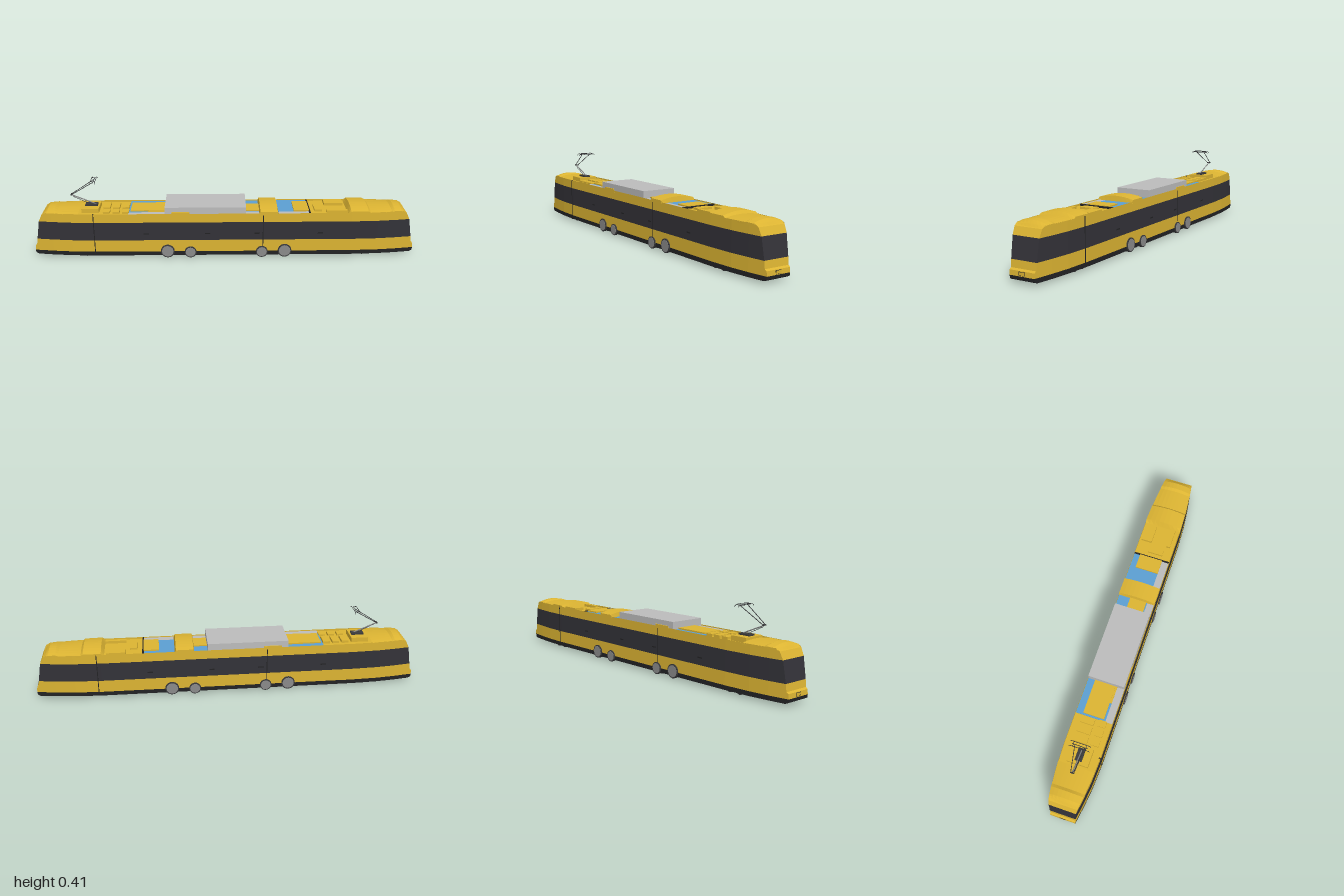
import * as THREE from 'three';

const mat = (name, color, side = THREE.FrontSide) => {
  const m = new THREE.MeshStandardMaterial({ color, side });
  m.name = name;
  return m;
};

// half width of the car body along its length
const WIDTHS = [[0, 0.098], [0.66, 0.098], [0.8, 0.092], [0.9, 0.081], [1, 0.066]];
function halfWidth(x) {
  const a = Math.min(Math.abs(x), 1);
  const i = Math.max(1, WIDTHS.findIndex(p => a <= p[0]));
  const [x0, w0] = WIDTHS[i - 1], [x1, w1] = WIDTHS[i];
  return w0 + (w1 - w0) * (a - x0) / (x1 - x0);
}

// closed plan outline for a body whose nose reaches xe
function plan(xe) {
  const half = [0.66, 0.8, 0.9, xe];
  const xs = [...half.slice().reverse().map(x => -x), ...half];
  return [...xs.map(x => [x, halfWidth(x)]), ...xs.reverse().map(x => [x, -halfWidth(x)])];
}

function geometryFrom(pos) {
  const g = new THREE.BufferGeometry();
  g.setAttribute('position', new THREE.Float32BufferAttribute(pos, 3));
  g.computeVertexNormals();
  return g;
}

// wall band through levels of [height, nose reach]
function band(levels) {
  const pos = [];
  for (let k = 0; k < levels.length - 1; k++) {
    const [y0, e0] = levels[k], [y1, e1] = levels[k + 1];
    const lo = plan(e0), hi = plan(e1);
    lo.forEach((p, i) => {
      const j = (i + 1) % lo.length;
      const a = [p[0], y0, p[1]], b = [lo[j][0], y0, lo[j][1]];
      const c = [hi[j][0], y1, hi[j][1]], d = [hi[i][0], y1, hi[i][1]];
      pos.push(...a, ...b, ...c, ...a, ...c, ...d);
    });
  }
  return geometryFrom(pos);
}

// arched roof through stations of [x, edge height, middle height]
function archedRoof(stations) {
  const N = 8, base = 0.238;
  const rows = stations.map(([x, edge, mid]) => {
    const w = halfWidth(x) + 0.001, row = [[x, base, -w]];
    for (let j = 0; j <= N; j++) {
      const t = -1 + 2 * j / N;
      row.push([x, edge + (mid - edge) * (1 - t * t), t * w]);
    }
    row.push([x, base, w]);
    return row;
  });
  const pos = [];
  for (let i = 0; i < rows.length - 1; i++) {
    for (let j = 0; j < rows[i].length - 1; j++) {
      const a = rows[i][j], d = rows[i][j + 1], b = rows[i + 1][j], c = rows[i + 1][j + 1];
      pos.push(...a, ...d, ...b, ...b, ...d, ...c);
    }
  }
  return geometryFrom(pos);
}

export function createModel() {
  const yellow = mat('yellow paint', 0xdcb432, THREE.DoubleSide);
  const glass = mat('dark glazing', 0x333238);
  const black = mat('black skirt', 0x222224);
  const blue = mat('blue roof deck', 0x5b9fd2);
  const pale = mat('pale grey', 0xbcbcbc);
  const steel = mat('steel grey', 0x8a8a8a);
  const tyre = mat('dark metal', 0x3a3a3c);

  const tram = new THREE.Group();
  tram.name = 'tram';
  const add = (name, geo, m, parent = tram) => {
    const mesh = new THREE.Mesh(geo, m);
    mesh.name = name;
    parent.add(mesh);
    return mesh;
  };
  // box given by its extents
  const box = (name, m, [x0, x1], [y0, y1], [z0, z1], parent = tram) => {
    const mesh = add(name, new THREE.BoxGeometry(x1 - x0, y1 - y0, z1 - z0), m, parent);
    mesh.position.set((x0 + x1) / 2, (y0 + y1) / 2, (z0 + z1) / 2);
    return mesh;
  };
  const rod = (name, a, b, r, m, parent) => {
    const p = new THREE.Vector3(...a), q = new THREE.Vector3(...b);
    const mesh = add(name, new THREE.CylinderGeometry(r, r, p.distanceTo(q), 6), m, parent);
    mesh.position.copy(p).add(q).multiplyScalar(0.5);
    mesh.quaternion.setFromUnitVectors(new THREE.Vector3(0, 1, 0), q.sub(p).normalize());
  };
  const slab = (name, xe, y, tilt, m) => {
    const shape = new THREE.Shape(plan(xe).map(p => new THREE.Vector2(...p)));
    const mesh = add(name, new THREE.ShapeGeometry(shape), m);
    mesh.rotation.x = tilt;
    mesh.position.y = y;
  };

  // body shell in coloured bands
  add('skirt', band([[0.013, 0.985], [0.02, 0.998], [0.035, 1]]), black);
  add('lowerBody', band([[0.035, 1], [0.058, 0.998], [0.065, 0.988], [0.1, 0.984]]), yellow);
  add('windowBand', band([[0.1, 0.984], [0.2, 0.967]]), glass);
  add('upperBody', band([[0.2, 0.967], [0.236, 0.95], [0.248, 0.93]]), yellow);
  slab('floor', 0.985, 0.013, Math.PI / 2, black);
  slab('roofDeck', 0.945, 0.238, -Math.PI / 2, yellow);

  // blue and grey deck panels
  for (const [x0, x1] of [[-0.5, 0.18], [0.28, 0.44]]) {
    box('blueDeck', blue, [x0, x1], [0.238, 0.243], [-0.097, 0.06]);
    box('greyDeck', pale, [x0, x1], [0.238, 0.243], [0.06, 0.097]);
  }
  box('deckBlock', yellow, [-0.49, -0.31], [0.24, 0.25], [-0.06, 0.05]);
  box('deckBlock', yellow, [-0.4, -0.31], [0.24, 0.247], [-0.06, 0.06]);
  box('deckBlock', yellow, [0.11, 0.18], [0.24, 0.249], [-0.035, 0.055]);
  box('deckBlock', yellow, [0.36, 0.44], [0.24, 0.25], [-0.065, 0.06]);
  box('deckGap', black, [0.438, 0.446], [0.238, 0.247], [-0.097, 0.097]);
  box('roofUnit', pale, [-0.31, 0.11], [0.243, 0.282], [-0.096, 0.096]);

  // equipment between the deck and the end housings
  box('equipmentBox', yellow, [0.53, 0.63], [0.238, 0.252], [-0.088, -0.03]);
  box('equipmentBox', yellow, [0.53, 0.64], [0.238, 0.252], [0.055, 0.075]);
  box('equipmentBox', yellow, [0.47, 0.51], [0.238, 0.248], [-0.03, 0.05]);
  for (const x of [-0.62, -0.57, -0.52]) {
    box('equipmentBox', yellow, [x - 0.018, x + 0.018], [0.238, 0.251], [-0.06, 0.01]);
    box('equipmentBox', yellow, [x - 0.012, x + 0.022], [0.238, 0.249], [0.03, 0.07]);
  }

  // each half repeats, turned about the vertical axis
  for (const turn of [0, Math.PI]) {
    const half = new THREE.Group();
    half.name = turn ? 'rightHalf' : 'leftHalf';
    half.rotation.y = turn;
    tram.add(half);

    const pantographEnd = turn > 0;
    const start = pantographEnd ? [] :
      [[0.64, 0.24, 0.24], [0.655, 0.255, 0.27], [0.745, 0.255, 0.27]];
    add('cabRoof', archedRoof([...start, [0.757, 0.247, 0.256], [0.87, 0.246, 0.257],
      [0.885, 0.25, 0.265], [0.92, 0.248, 0.263], [0.935, 0.244, 0.25],
      [0.948, 0.236, 0.236]]), yellow, half);
    add('jointHousing', archedRoof([[0.178, 0.238, 0.238], [0.184, 0.257, 0.27],
      [0.274, 0.257, 0.27], [0.28, 0.238, 0.238]]), yellow, half);

    // vertical seams on one side
    for (const x of [-0.68, 0.2]) {
      box('doorSeam', black, [x - 0.002, x + 0.002], [0.035, 0.247], [0.09, 0.0985], half);
    }
    // small side fittings
    for (const x of [-0.41, -0.09, 0.17, 0.5]) {
      box('sideFitting', black, [x - 0.014, x + 0.014], [0.134, 0.14], [0.095, 0.1], half);
    }
    // bumper plate with its frame
    box('bumperFrame', black, [0.99, 1.0005], [0.038, 0.055], [-0.016, 0.016], half);
    box('bumperPlate', yellow, [0.99, 1.001], [0.0395, 0.0535], [-0.0145, 0.0145], half);

    // outer wheels with steel discs
    for (const [x, y, r] of [[-0.3, 0.038, 0.036], [-0.18, 0.032, 0.031],
      [0.195, 0.032, 0.031], [0.315, 0.038, 0.036]]) {
      const wheel = new THREE.Group();
      wheel.name = 'wheel';
      wheel.position.set(x, y, 0.097);
      wheel.rotation.x = Math.PI / 2;
      half.add(wheel);
      add('rim', new THREE.CylinderGeometry(r, r, 0.014, 20), tyre, wheel);
      add('disc', new THREE.CylinderGeometry(r * 0.85, r * 0.85, 0.017, 12), steel, wheel);
    }
    // inner running wheels and underfloor frames
    for (const x of [0.2, 0.3, 0.67, 0.73]) {
      for (const z of [-0.068, 0.068]) {
        const w = add('innerWheel', new THREE.CylinderGeometry(0.022, 0.022, 0.012, 16), tyre, half);
        w.rotation.x = Math.PI / 2;
        w.position.set(x, 0.022, z);
      }
    }
    box('bogieFrame', steel, [0.21, 0.29], [0.009, 0.015], [-0.05, 0.05], half);
    box('bogieOpening', black, [0.225, 0.275], [0.008, 0.014], [-0.04, 0.04], half);
    box('bogieFrame', steel, [0.665, 0.735], [0.009, 0.015], [-0.03, 0.03], half);
    box('bogieBeam', yellow, [0.69, 0.71], [0.008, 0.014], [-0.025, 0.025], half);
  }

  // pantograph
  const panto = new THREE.Group();
  panto.name = 'pantograph';
  tram.add(panto);
  box('pantographPlinth', yellow, [-0.745, -0.655], [0.238, 0.262], [-0.055, 0.055], panto);
  box('pantographBase', tyre, [-0.73, -0.665], [0.262, 0.27], [-0.018, 0.018], panto);
  rod('lowerArm', [-0.675, 0.268, 0], [-0.8, 0.32, 0], 0.003, steel, panto);
  rod('guideRod', [-0.7, 0.268, 0.004], [-0.792, 0.312, 0.004], 0.0012, tyre, panto);
  rod('knee', [-0.8, 0.322, -0.01], [-0.8, 0.322, 0.01], 0.004, tyre, panto);
  for (const s of [-1, 1]) rod('upperArm', [-0.8, 0.322, s * 0.008], [-0.68, 0.397, s * 0.025], 0.0018, tyre, panto);
  rod('headAxle', [-0.68, 0.398, -0.04], [-0.68, 0.398, 0.04], 0.0016, tyre, panto);
  for (const x of [-0.692, -0.668]) {
    const path = new THREE.CatmullRomCurve3([[-0.052, 0.394], [-0.042, 0.403], [-0.03, 0.404],
      [0.03, 0.404], [0.042, 0.403], [0.052, 0.394]].map(([z, y]) => new THREE.Vector3(x, y, z)));
    add('contactBar', new THREE.TubeGeometry(path, 20, 0.0015, 5), tyre, panto);
  }
  for (const z of [-0.032, 0.032]) rod('headLink', [-0.692, 0.402, z], [-0.668, 0.402, z], 0.0012, tyre, panto);

  return tram;
}
